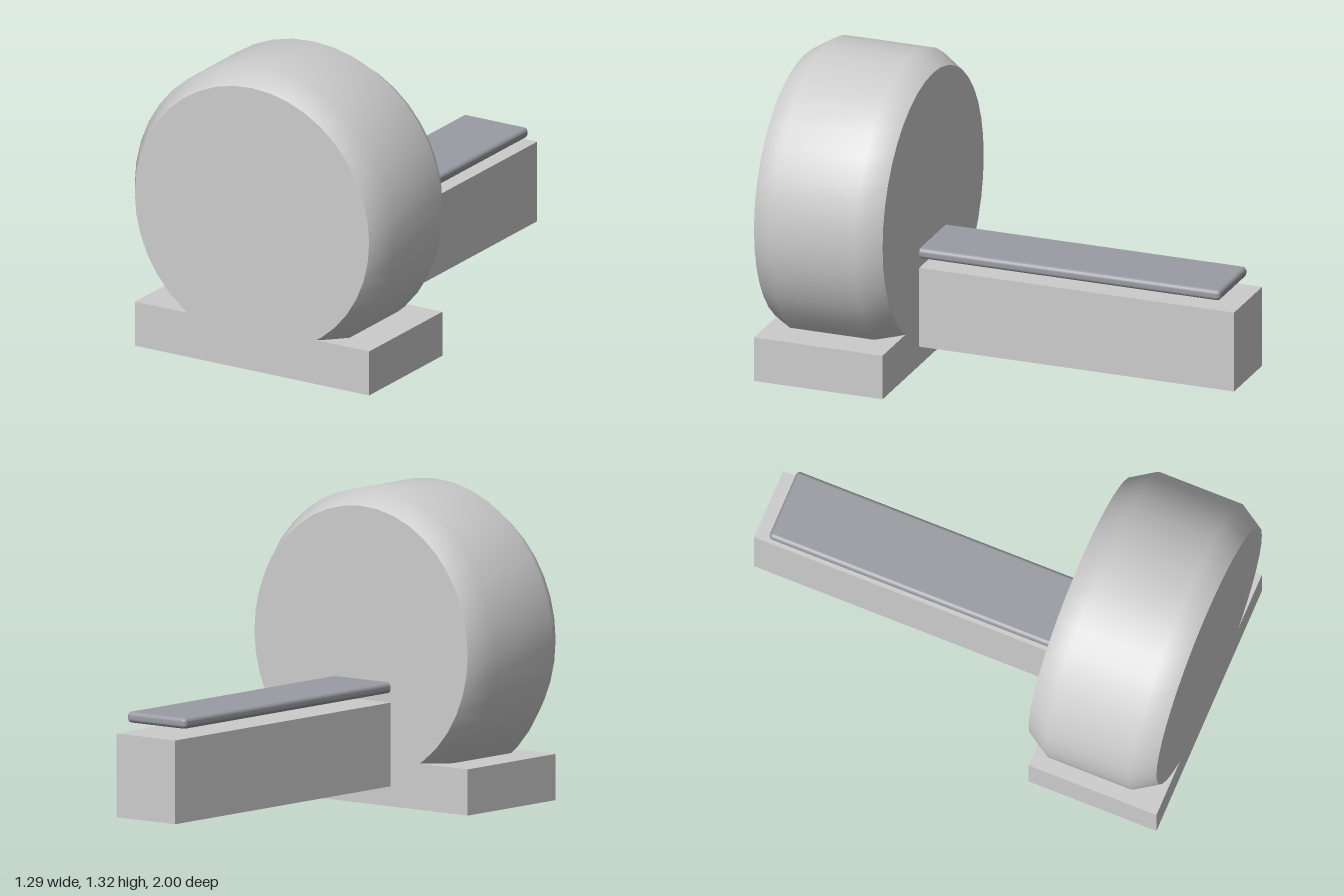
import * as THREE from 'three';
import { RoundedBoxGeometry } from 'three/addons/geometries/RoundedBoxGeometry.js';

export function createModel() {
  const model = new THREE.Group();
  const lightGrey = new THREE.MeshStandardMaterial({ color: 0xcccccc });
  lightGrey.name = 'lightGrey';
  const slateGrey = new THREE.MeshStandardMaterial({ color: 0x9b9ca3 });
  slateGrey.name = 'slateGrey';

  const add = (name, geometry, material, x, y, z, parent = model) => {
    const mesh = new THREE.Mesh(geometry, material);
    mesh.name = name;
    mesh.position.set(x, y, z);
    parent.add(mesh);
    return mesh;
  };

  const SIDES = 40;
  const RIM = 0.58, BELLY = 0.643, HALF = 0.29;

  // Round drum lying along z, with bevelled rims blended smoothly into the wall
  const drum = new THREE.Group();
  drum.name = 'drum';
  drum.position.set(0, 0.68, 0.71);
  model.add(drum);
  const profile = [[RIM, -HALF], [BELLY, -0.19], [BELLY, 0.19], [RIM, HALF]]
    .map(([r, y]) => new THREE.Vector2(r, y));
  add('drumWall', new THREE.LatheGeometry(profile, SIDES).rotateX(Math.PI / 2), lightGrey, 0, 0, 0, drum);

  // Flat end faces
  add('drumFrontFace', new THREE.CircleGeometry(RIM, SIDES), lightGrey, 0, 0, HALF, drum);
  add('drumBackFace', new THREE.CircleGeometry(RIM, SIDES).rotateY(Math.PI), lightGrey, 0, 0, -HALF, drum);

  // Foot under the drum
  add('foot', new THREE.BoxGeometry(1.16, 0.196, 0.58), lightGrey, 0, 0.098, 0.71);

  // Beam reaching backwards, slightly embedded in the drum
  add('beam', new THREE.BoxGeometry(0.32, 0.355, 1.47), lightGrey, 0, 0.2625, -0.265);

  // Soft-edged plate floating above the beam
  add('plate', new RoundedBoxGeometry(0.32, 0.046, 1.405, 4, 0.018), slateGrey, 0, 0.502, -0.2325);

  return model;
}
